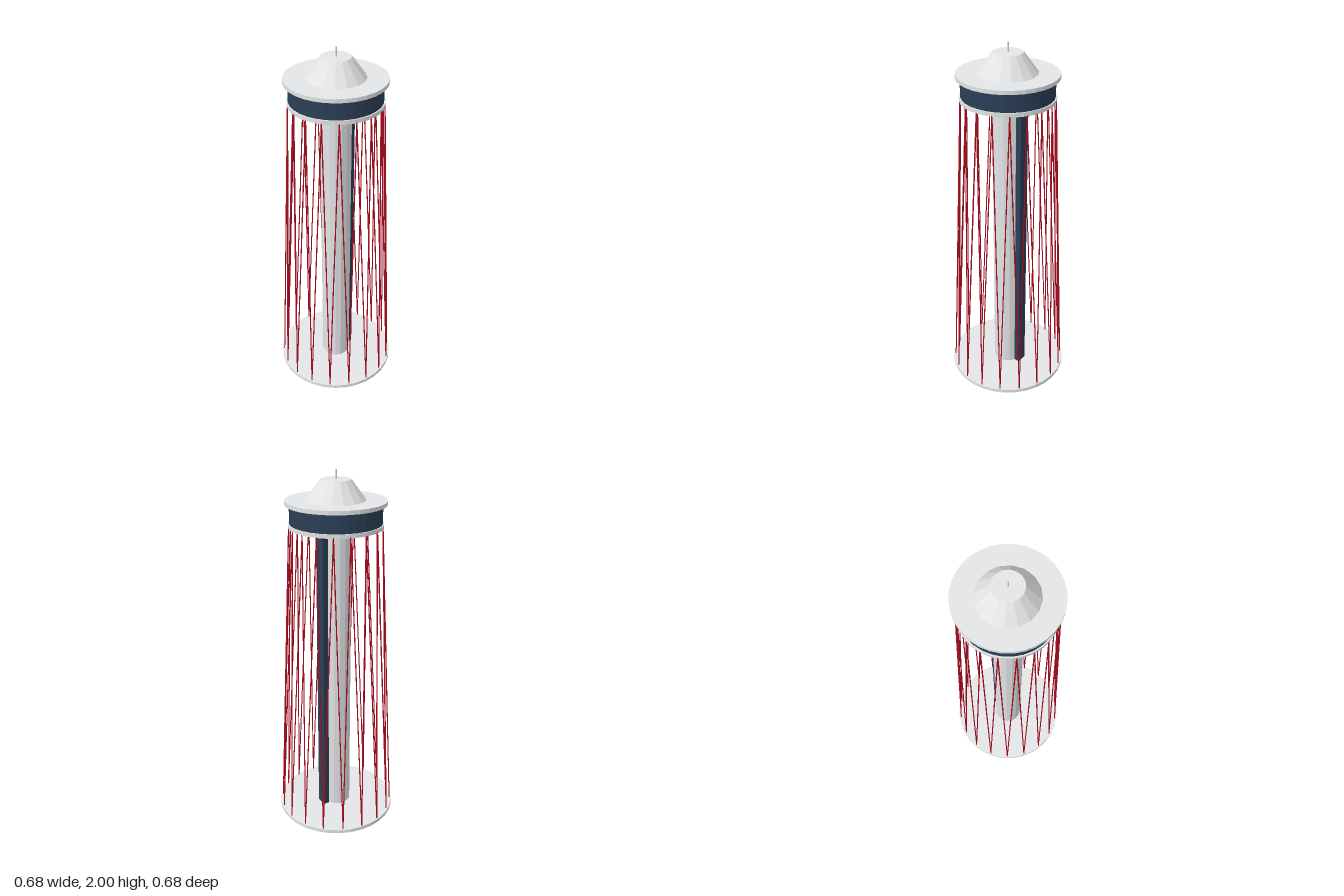
import * as THREE from 'three';

export function createModel() {
  const model = new THREE.Group();
  model.name = 'observationTower';

  const mat = (name, color) => {
    const m = new THREE.MeshStandardMaterial({ color });
    m.name = name;
    return m;
  };
  const concrete = mat('paleConcrete', 0xe5e7e9);
  const blue = mat('darkBlueGlass', 0x2b3f56);
  const red = mat('redCable', 0xb00a1e);

  const add = (name, geometry, material, parent = model) => {
    const mesh = new THREE.Mesh(geometry, material);
    mesh.name = name;
    parent.add(mesh);
    return mesh;
  };

  // Faceted upright cylinder between two heights
  const drum = (name, rBottom, rTop, y0, y1, sides, material) => {
    const g = new THREE.CylinderGeometry(rTop, rBottom, y1 - y0, sides).toNonIndexed();
    g.computeVertexNormals();
    g.translate(0, (y0 + y1) / 2, 0);
    return add(name, g, material);
  };

  // Base and central shaft
  drum('base', 0.339, 0.339, 0.0004, 0.021, 32, concrete);
  drum('column', 0.082, 0.082, 0.02, 1.707, 16, concrete);

  // Lift shaft on the back of the column, reaching through the base
  add('liftShaft', new THREE.BoxGeometry(0.06, 1.707, 0.05), blue).position.set(0, 0.8535, -0.083);

  // Observation deck
  drum('deckFloor', 0.25, 0.25, 1.706, 1.727, 32, concrete);
  drum('deckWindows', 0.243, 0.243, 1.727, 1.826, 32, blue);
  drum('deckRoof', 0.266, 0.266, 1.825, 1.846, 32, concrete);
  drum('roofCone', 0.157, 0.079, 1.845, 1.951, 16, concrete);
  drum('antenna', 0.005, 0.005, 1.95, 2, 8, concrete);

  // Zigzag cables: two rise from each anchor on the base to the deck rim
  const cables = new THREE.Group();
  cables.name = 'cables';
  model.add(cables);
  const count = 18;
  const step = (Math.PI * 2) / count;
  const ringPoint = (radius, y, a) =>
    new THREE.Vector3(Math.sin(a) * radius, y, Math.cos(a) * radius);
  const up = new THREE.Vector3(0, 1, 0);
  for (let i = 0; i < count; i++) {
    const foot = ringPoint(0.328, 0.02, i * step);
    for (const side of [-0.5, 0.5]) {
      const head = ringPoint(0.247, 1.71, (i + side) * step);
      const run = head.clone().sub(foot);
      const cable = add('cable', new THREE.CylinderGeometry(0.0033, 0.0033, run.length(), 6), red, cables);
      cable.position.copy(foot).add(head).multiplyScalar(0.5);
      cable.quaternion.setFromUnitVectors(up, run.normalize());
    }
  }

  return model;
}
